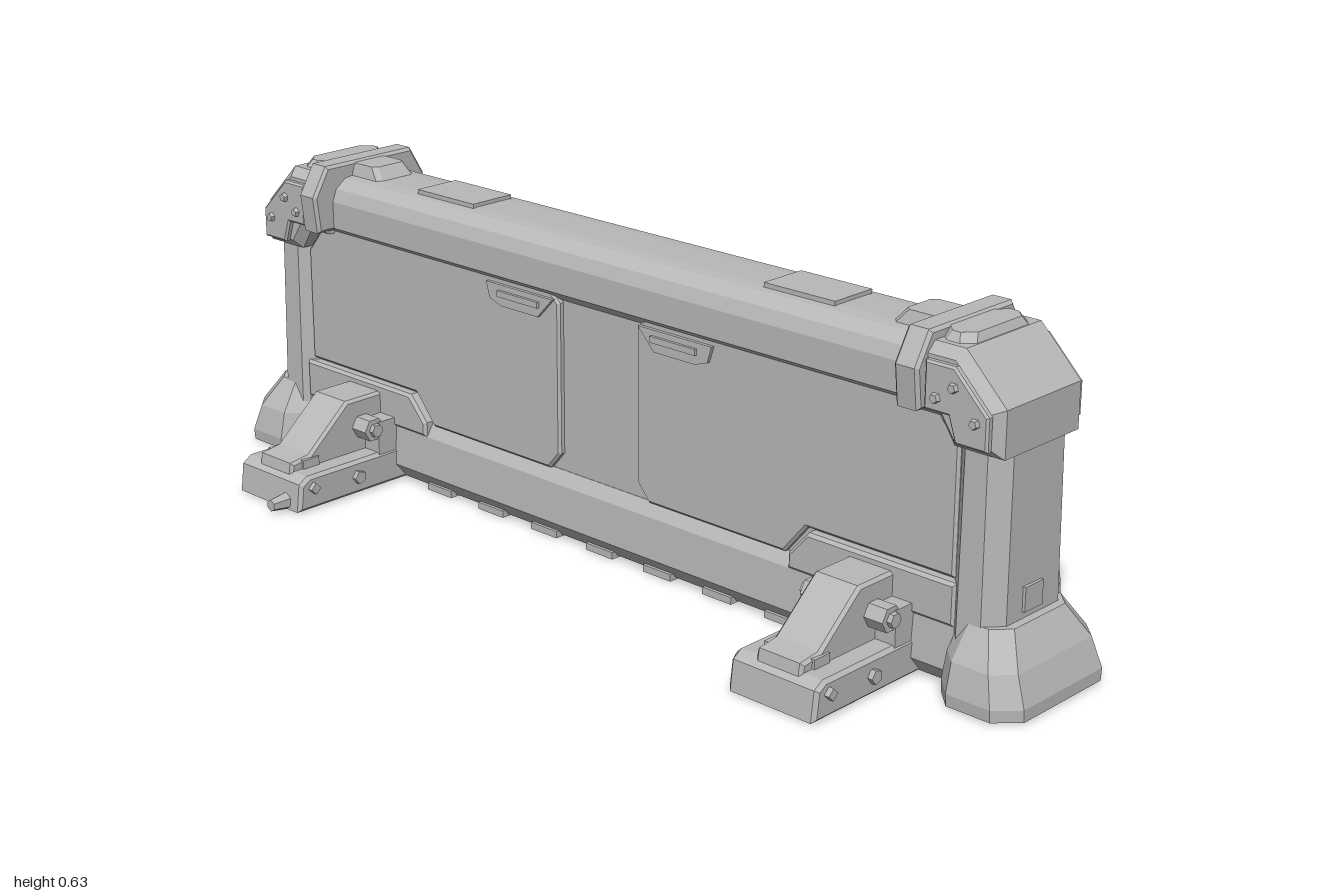
import * as THREE from 'three';
import { ConvexGeometry } from 'three/addons/geometries/ConvexGeometry.js';

export function createModel() {
  const model = new THREE.Group();
  const grey = new THREE.MeshStandardMaterial({ color: 0xb8b8b8, flatShading: true });
  grey.name = 'concrete grey';

  function add(parent, name, geometry, x = 0, y = 0, z = 0) {
    const mesh = new THREE.Mesh(geometry, grey);
    mesh.name = name;
    mesh.position.set(x, y, z);
    parent.add(mesh);
    return mesh;
  }
  // Outline in the x-y plane, given thickness along z, centred
  function slab(points, depth, bevel = 0) {
    const shape = new THREE.Shape(points.map(([x, y]) => new THREE.Vector2(x, y)));
    const g = new THREE.ExtrudeGeometry(shape, {
      depth: depth - 2 * bevel, bevelEnabled: bevel > 0, bevelSize: bevel,
      bevelThickness: bevel, bevelOffset: -bevel, bevelSegments: 1,
    });
    return g.translate(0, 0, bevel - depth / 2);
  }
  // Outline in the z-y plane, given length along x, centred
  const bar = (points, length, bevel = 0) =>
    slab(points.map(([z, y]) => [-z, y]), length, bevel).rotateY(Math.PI / 2);
  // Half outline (z, y) from bottom to top, mirrored in z
  const mirror = (half) => [...half, ...half.map(([z, y]) => [-z, y]).reverse()];
  // Solid through rectangular rings with cut corners: [y, x0, x1, halfZ, cut]
  function block(rings) {
    const pts = [];
    for (const [y, x0, x1, h, c] of rings) {
      for (const s of [-1, 1]) {
        for (const [x, z] of [[x0, h - c], [x0 + c, h], [x1 - c, h], [x1, h - c]]) {
          pts.push(new THREE.Vector3(x, y, s * z));
        }
      }
    }
    return new ConvexGeometry(pts);
  }

  // Wall core, lower beam and rounded top rail
  add(model, 'wallCore', new THREE.BoxGeometry(1.7, 0.46, 0.15), 0, 0.28, 0);
  add(model, 'lowerBeam', bar(mirror([[0.07, 0.007], [0.098, 0.04], [0.092, 0.12], [0.076, 0.145]]), 1.7));
  add(model, 'topRail', bar(mirror([[0.076, 0.485], [0.1, 0.505], [0.1, 0.56], [0.09, 0.585], [0.065, 0.603], [0.04, 0.606]]), 1.56));
  for (const x of [-0.45, 0.45]) {
    add(model, 'railPlate', new THREE.BoxGeometry(0.16, 0.009, 0.1), x, 0.609, 0);
  }
  for (let i = -3; i <= 3; i++) {
    add(model, 'beamTab', new THREE.BoxGeometry(0.07, 0.014, 0.17), i * 0.15, 0.01, 0);
  }

  // Panels with handles on both faces
  const panel = [[0.1, 0.18], [0.13, 0.145], [0.46, 0.145], [0.51, 0.205], [0.83, 0.205],
    [0.83, 0.44], [0.78, 0.5], [0.12, 0.5], [0.1, 0.48]];
  const corner = [[0.475, 0.12], [0.84, 0.12], [0.84, 0.2], [0.52, 0.2], [0.475, 0.15]];
  const handle = [[0.11, 0.487], [0.29, 0.487], [0.28, 0.455], [0.25, 0.445], [0.15, 0.445]];
  for (const face of [-1, 1]) {
    for (const side of [-1, 1]) {
      const flip = (pts) => pts.map(([x, y]) => [x * side, y]);
      add(model, 'panel', slab(flip(panel), 0.024, 0.005), 0, 0, face * 0.076);
      add(model, 'cornerPlate', slab(flip(corner), 0.04, 0.006), 0, 0, face * 0.077);
      add(model, 'handlePlate', slab(flip(handle), 0.008), 0, 0, face * 0.091);
      add(model, 'handleBar', new THREE.BoxGeometry(0.11, 0.012, 0.012), side * 0.2, 0.47, face * 0.095);
    }
  }

  // End post, foot, cap and collar, built on the +x side and turned for the other
  function makeEnd() {
    const end = new THREE.Group();
    end.name = 'endPost';
    add(end, 'post', block([[0.1, 0.82, 0.93, 0.104, 0.03], [0.47, 0.82, 0.925, 0.1, 0.03]]));
    add(end, 'postPlate', new THREE.BoxGeometry(0.009, 0.045, 0.05), 0.93, 0.18, 0.005);
    add(end, 'foot', block([[0.007, 0.83, 1.0, 0.15, 0.04], [0.03, 0.83, 1.0, 0.152, 0.04],
      [0.085, 0.835, 0.98, 0.14, 0.035], [0.145, 0.845, 0.945, 0.102, 0.03]]));
    add(end, 'cap', slab([[0.83, 0.445], [0.93, 0.445], [0.93, 0.53], [0.845, 0.615],
      [0.745, 0.615], [0.745, 0.49], [0.8, 0.49]], 0.24, 0.018));
    add(end, 'collar', bar(mirror([[0.138, 0.5], [0.147, 0.575], [0.112, 0.634]]), 0.05, 0.006), 0.757, 0, 0);
    add(end, 'capRidge', block([[0.6, 0.77, 0.85, 0.1, 0.02], [0.63, 0.78, 0.835, 0.08, 0.02]]));
    add(end, 'collarClamp', block([[0.595, 0.64, 0.75, 0.05, 0.01], [0.63, 0.67, 0.74, 0.04, 0.01]]));
    for (const face of [-1, 1]) {
      add(end, 'capPlate', slab([[0.785, 0.505], [0.835, 0.505], [0.85, 0.46], [0.915, 0.46],
        [0.915, 0.52], [0.845, 0.59], [0.785, 0.59]], 0.016, 0.004), 0, 0, face * 0.124);
      for (const [x, y] of [[0.81, 0.53], [0.845, 0.555], [0.89, 0.505]]) {
        add(end, 'rivet', new THREE.CylinderGeometry(0.008, 0.011, 0.012, 5).rotateX(face * Math.PI / 2), x, y, face * 0.134);
      }
    }
    return end;
  }

  // Cross leg: flat base, sloped gussets, hinge bolts and ground pegs
  function makeLeg() {
    const leg = new THREE.Group();
    leg.name = 'crossLeg';
    add(leg, 'legBase', bar(mirror([[0.352, 0.005], [0.345, 0.062], [0.325, 0.075]]), 0.19, 0.007));
    for (const face of [-1, 1]) {
      add(leg, 'gusset', bar([[0.06, 0.06], [0.335, 0.06], [0.33, 0.092], [0.285, 0.098],
        [0.185, 0.185], [0.06, 0.185]].map(([z, y]) => [z * face, y]), 0.1, 0.006));
      for (const side of [-1, 1]) {
        add(leg, 'hingeBolt', new THREE.CylinderGeometry(0.025, 0.025, 0.05, 6).rotateZ(Math.PI / 2), side * 0.065, 0.126, face * 0.148);
        add(leg, 'boltHead', new THREE.CylinderGeometry(0.014, 0.014, 0.02, 6).rotateZ(Math.PI / 2), side * 0.09, 0.126, face * 0.148);
        add(leg, 'hingeBlock', new THREE.BoxGeometry(0.045, 0.08, 0.08), side * 0.07, 0.1, face * 0.1);
        add(leg, 'baseStud', new THREE.CylinderGeometry(0.014, 0.014, 0.02, 5).rotateZ(Math.PI / 2), side * 0.095, 0.042, face * 0.2);
        add(leg, 'baseStud', new THREE.CylinderGeometry(0.012, 0.012, 0.02, 4).rotateZ(Math.PI / 2), side * 0.095, 0.05, face * 0.315);
      }
      add(leg, 'toePlate', new THREE.BoxGeometry(0.11, 0.02, 0.04), 0, 0.083, face * 0.285);
    }
    return leg;
  }

  for (const side of [-1, 1]) {
    const end = makeEnd();
    if (side < 0) end.rotation.y = Math.PI;
    model.add(end);
    const leg = makeLeg();
    leg.position.x = side * 0.66;
    model.add(leg);
  }

  // Ground pegs at the toes
  for (const [x, z] of [[-0.61, 0.367], [-0.64, -0.367], [0.605, -0.367]]) {
    add(model, 'groundPeg', new THREE.CylinderGeometry(0.012, 0.018, 0.04, 6).rotateX(Math.sign(z) * Math.PI / 2), x, 0.02, z);
  }
  return model;
}
